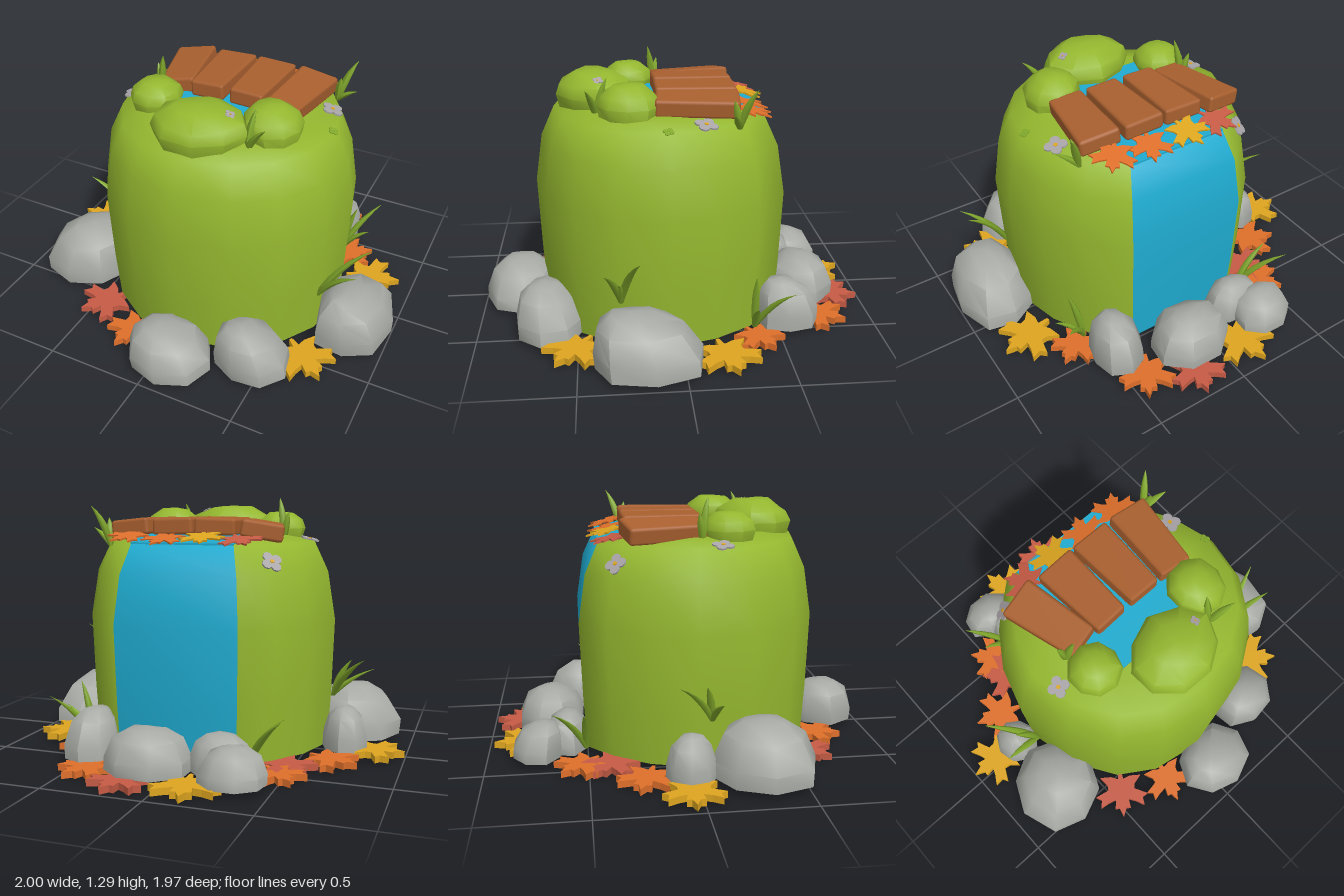
import * as THREE from 'three';
import { toCreasedNormals } from 'three/addons/utils/BufferGeometryUtils.js';
import { RoundedBoxGeometry } from 'three/addons/geometries/RoundedBoxGeometry.js';

const paint = (name, color) => {
  const m = new THREE.MeshStandardMaterial({ color, side: THREE.DoubleSide });
  m.name = name;
  return m;
};

export function createModel() {
  const model = new THREE.Group();
  model.name = 'waterfallHill';
  const grassGreen = paint('grassGreen', 0x94b72f);
  const bladeGreen = paint('bladeGreen', 0x82a92c);
  const waterBlue = paint('waterBlue', 0x1fabd0);
  const stoneGray = paint('stoneGray', 0xa8aba5);
  const woodBrown = paint('woodBrown', 0xa9602f);
  const yellow = paint('leafYellow', 0xdda51f);
  const orange = paint('leafOrange', 0xde6f2b);
  const red = paint('leafRed', 0xc65b45);
  const petalGray = paint('petalGray', 0xa9a5a8);

  let seed = 7;
  const rand = () => (seed = (seed * 16807) % 2147483647) / 2147483647;
  const add = (name, geometry, material, parent = model) => {
    const mesh = new THREE.Mesh(geometry, material);
    mesh.name = name;
    parent.add(mesh);
    return mesh;
  };

  // Loft through rings of equal length; the last ring is closed to a top point.
  // The first segment of every ring comes first in the index.
  const loft = (rings, top) => {
    const n = rings[0].length, first = [], rest = [];
    for (let j = 0; j < rings.length - 1; j++) {
      for (let i = 0; i < n; i++) {
        const a = j * n + i, b = j * n + (i + 1) % n;
        (i === 0 ? first : rest).push(a, b + n, b, a, a + n, b + n);
      }
    }
    const base = (rings.length - 1) * n;
    for (let i = 0; i < n; i++) rest.push(rings.length * n, base + (i + 1) % n, base + i);
    const g = new THREE.BufferGeometry();
    g.setAttribute('position', new THREE.Float32BufferAttribute([...rings.flat(2), ...top], 3));
    g.setIndex([...first, ...rest]);
    g.addGroup(0, first.length, 0);
    g.addGroup(first.length, rest.length, 1);
    g.computeVertexNormals();
    return g;
  };

  // Hill: one outline scaled by height, flat at the back where the water falls
  const outline = [[-0.28, -0.53], [0.35, -0.53], [0.53, -0.38], [0.645, -0.18], [0.705, 0.05],
    [0.66, 0.3], [0.53, 0.5], [0.32, 0.64], [0.04, 0.70], [-0.22, 0.65], [-0.42, 0.52],
    [-0.56, 0.3], [-0.625, 0.02], [-0.55, -0.22], [-0.43, -0.4]];
  const profile = [[0.03, 0.955], [0.3, 0.98], [0.68, 1], [0.92, 0.94], [1.07, 0.83], [1.1, 0.6]];
  const hillRings = profile.map(([y, s]) =>
    outline.map(([x, z]) => [0.04 + (x - 0.04) * s, y, 0.08 + (z - 0.08) * s]));
  add('hillAndWaterfall', loft(hillRings, [0.04, 1.107, 0.08]), [waterBlue, grassGreen]);

  // Stream across the top, dipping to the waterfall edge
  const streamShape = new THREE.BoxGeometry(0.525, 0.009, 0.72, 1, 1, 5);
  const sp = streamShape.attributes.position;
  for (let i = 0; i < sp.count; i++) if (sp.getZ(i) < -0.35) sp.setY(i, sp.getY(i) - 0.035);
  add('stream', streamShape, waterBlue).position.set(0.0375, 1.106, -0.07);

  // Rounded stones: x, z, half width, half depth, base, top, then the lean of the top
  const stone = (name, material, sides, crease, levels, [x, z, rx, rz, y0, y1, lx = 0, lz = 0]) => {
    const turn = rand() * 6;
    const jitter = Array.from({ length: sides }, () => 0.94 + rand() * 0.12);
    const rings = levels.map(([h, s]) =>
      jitter.map((k, i) => {
        const a = turn + i / sides * Math.PI * 2, w = s * k * (0.97 + rand() * 0.06);
        const y = y0 + (y1 - y0) * h * (h > 0.5 ? 0.94 + rand() * 0.06 : 1);
        return [x + lx * h * h + Math.cos(a) * rx * w, y, z + lz * h * h + Math.sin(a) * rz * w];
      }));
    const g = loft(rings, [x + lx, y1, z + lz]);
    g.clearGroups();
    add(name, toCreasedNormals(g, crease), material);
  };
  const rockLevels = [[0, 0.99], [0.3, 1], [0.76, 0.78], [0.97, 0.42]];
  [
    [-0.70, 0.32, 0.235, 0.25, 0.03, 0.30, 0.03, 0], [-0.70, -0.03, 0.115, 0.12, 0.03, 0.25],
    [0.81, 0.17, 0.195, 0.275, 0.03, 0.29, -0.03, 0.07], [0.11, -0.68, 0.215, 0.175, 0.03, 0.24],
    [0.46, -0.55, 0.135, 0.155, 0.03, 0.27, 0, 0.04], [-0.22, -0.60, 0.16, 0.11, 0.03, 0.22],
    [-0.32, -0.75, 0.16, 0.13, 0.03, 0.20, 0, 0.04], [0.07, 0.80, 0.21, 0.185, 0.03, 0.24, -0.05, 0],
    [0.445, 0.64, 0.185, 0.17, 0.03, 0.27, -0.05, 0.03],
  ].forEach((s) => stone('rock', stoneGray, 8, 0.85, rockLevels, s));
  const mossLevels = [[0, 0.87], [0.42, 1], [0.72, 0.88], [0.98, 0.5]];
  [
    [-0.29, 0.21, 0.135, 0.135, 1.07, 1.22], [0.04, 0.39, 0.235, 0.195, 1.06, 1.25],
    [0.35, 0.23, 0.145, 0.15, 1.07, 1.24, -0.03, 0],
  ].forEach((s) => stone('mossyStone', grassGreen, 9, 0.8, mossLevels, s));

  // Bridge planks, wider at the back: x, y, z, turn, roll
  [[-0.285, 1.132, -0.11, 0.22, 0.16], [-0.08, 1.15, -0.105, 0.03, 0.03], [0.135, 1.15, -0.105, 0, -0.03],
    [0.35, 1.142, -0.095, -0.1, -0.1]].forEach(([x, y, z, turn, roll]) => {
    const g = new RoundedBoxGeometry(0.192, 0.085, 0.4, 1, 0.016);
    const p = g.attributes.position;
    for (let i = 0; i < p.count; i++) p.setX(i, p.getX(i) * (1 - p.getZ(i) * 0.5));
    const plank = add('plank', g, woodBrown);
    plank.position.set(x, y, z);
    plank.rotation.set(0, turn, roll, 'YXZ');
  });

  // Lobed leaves
  const half = [[0.05, -0.75], [0.1, -0.42], [0.35, -0.52], [0.76, -0.52], [0.52, -0.22], [0.5, -0.02],
    [0.98, 0.2], [0.78, 0.32], [0.82, 0.62], [0.5, 0.44], [0.24, 0.35], [0.29, 0.68], [0.13, 0.68], [0, 1]];
  const points = [...half, ...half.slice(0, -1).reverse().map(([x, y]) => [-x, y])];
  const leafShape = new THREE.Shape(points.map(([x, y]) => new THREE.Vector2(x, y)));
  const leaf = (name, material, x, y, z, size, thick, turn, tilt) => {
    const g = new THREE.ExtrudeGeometry(leafShape, { depth: 1, bevelEnabled: false });
    g.scale(size, size, thick);
    g.rotateX(-Math.PI / 2);
    const mesh = add(name, g, material);
    mesh.position.set(x, y, z);
    mesh.rotation.set(tilt, turn, 0);
  };
  [
    [yellow, -0.85, 0.01, -0.04, 0.15], [orange, -0.66, 0, -0.23, 0.15], [red, -0.48, 0, -0.39, 0.15],
    [orange, -0.47, 0, -0.53, 0.14], [yellow, -0.13, 0, -0.81, 0.17], [red, 0.18, 0, -0.845, 0.145],
    [orange, 0.40, 0, -0.73, 0.145], [yellow, 0.77, 0.015, -0.20, 0.165], [orange, 0.60, 0, -0.38, 0.13],
    [yellow, 0.66, 0.015, 0.51, 0.16], [orange, -0.2, 0, 0.70, 0.14], [red, -0.44, 0, 0.58, 0.15],
  ].forEach(([m, x, y, z, s]) => leaf('groundLeaf', m, x, y, z, s, 0.034, Math.atan2(-x, -z), 0));
  [[red, -0.23, -0.355, 0.6], [yellow, -0.05, -0.37, 0.2], [orange, 0.15, -0.36, -0.3], [orange, 0.34, -0.35, -0.6]]
    .forEach(([m, x, z, turn], i) => leaf('bridgeLeaf', m, x, 1.09 + (i % 2) * 0.01, z, 0.115, 0.009, turn, -0.24));

  // Grass tufts: a root, then the blade tips; blades swell below the middle
  const blade = (root, tip) => {
    const a = new THREE.Vector3(...root), c = new THREE.Vector3(...tip);
    const b = a.clone().lerp(c, 0.35);
    b.y = a.y + (c.y - a.y) * 0.65;
    const curve = new THREE.QuadraticBezierCurve3(a, b, c);
    const g = new THREE.CylinderGeometry(0.02, 0.02, 1, 5, 6);
    const p = g.attributes.position;
    for (let i = 0; i < p.count; i++) {
      const t = p.getY(i) + 0.5, q = curve.getPoint(t);
      const w = Math.sin(Math.PI * (0.2 + 0.78 * t));
      p.setXYZ(i, q.x + p.getX(i) * w, q.y, q.z + p.getZ(i) * w);
    }
    g.computeVertexNormals();
    add('grassBlade', g, bladeGreen);
  };
  [
    [[-0.61, 0.27, 0.08], [-0.80, 0.5, -0.10], [-0.82, 0.42, 0.1], [-0.71, 0.47, 0.04]],
    [[0.64, 0.26, 0.29], [0.87, 0.56, 0.21], [0.85, 0.50, 0.37], [0.74, 0.40, 0.30]],
    [[0.55, 0.05, -0.37], [0.62, 0.35, -0.36], [0.71, 0.3, -0.53], [0.70, 0.22, -0.36]],
    [[-0.33, 0.05, -0.51], [-0.52, 0.3, -0.67], [-0.5, 0.28, -0.52]],
    [[0.48, 1.05, -0.28], [0.55, 1.25, -0.35], [0.59, 1.14, -0.24], [0.50, 1.19, -0.25]],
    [[0.28, 1.06, 0.38], [0.30, 1.26, 0.33], [0.39, 1.22, 0.43]],
    [[-0.34, 1.07, 0.07], [-0.31, 1.29, 0.10], [-0.37, 1.22, 0.05]],
  ].forEach(([root, ...tips]) => tips.forEach((tip) => blade(root, tip)));

  // Four-petalled flowers: position, facing direction, size
  [
    [[-0.39, 0.99, -0.35], [-0.6, 0.7, -0.6], 1.05, petalGray], [[0.51, 1.083, -0.12], [0.25, 1, -0.1], 1.05, petalGray],
    [[-0.46, 1.08, 0.15], [-0.25, 1, 0], 1, petalGray], [[0.19, 1.225, 0.37], [0.5, 1, 0], 0.5, petalGray],
    [[0.58, 1.075, 0.06], [0.4, 1, 0], 0.5, bladeGreen],
  ].forEach(([pos, normal, size, material]) => {
    const flower = new THREE.Group();
    flower.name = 'flower';
    for (let i = 0; i < 4; i++) {
      const a = i * Math.PI / 2 + 0.4;
      const petal = add('petal', new THREE.CylinderGeometry(0.025, 0.025, 0.008, 8), material, flower);
      petal.position.set(Math.cos(a) * 0.03, 0, Math.sin(a) * 0.03);
    }
    add('flowerCentre', new THREE.CylinderGeometry(0.01, 0.01, 0.014, 8), material === petalGray ? yellow : material, flower);
    flower.scale.setScalar(size);
    flower.position.set(...pos);
    flower.quaternion.setFromUnitVectors(new THREE.Vector3(0, 1, 0), new THREE.Vector3(...normal).normalize());
    model.add(flower);
  });

  return model;
}
